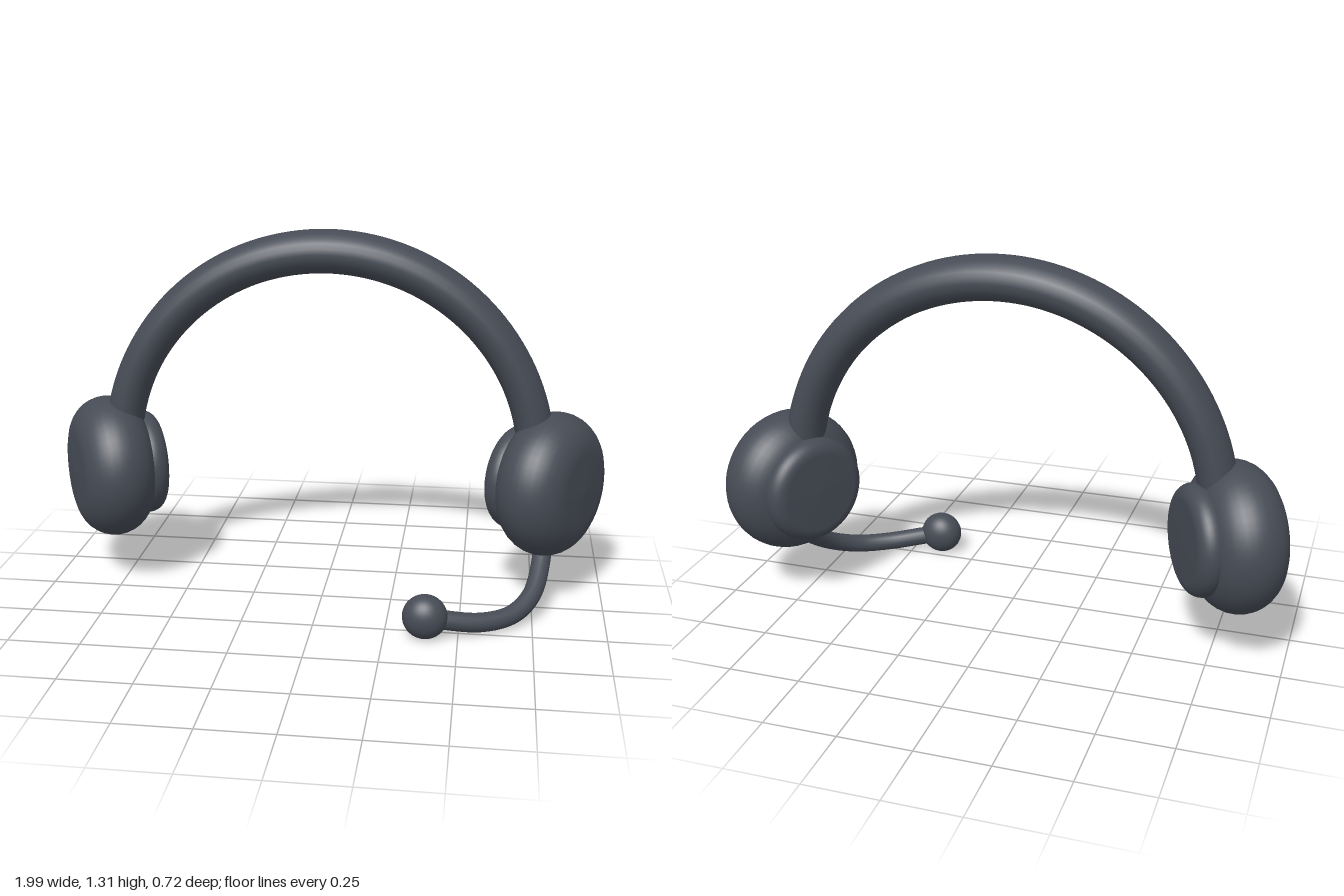
import * as THREE from 'three';
import { mergeVertices } from 'three/addons/utils/BufferGeometryUtils.js';

const charcoal = new THREE.MeshStandardMaterial({ color: 0x464b55, side: THREE.DoubleSide });
charcoal.name = 'charcoal';

const part = (name, geometry) => {
  const mesh = new THREE.Mesh(geometry, charcoal);
  mesh.name = name;
  return mesh;
};

// Disc with a fully rounded rim and slightly domed faces, its axis along x
function roundedDisc(radius, rim, dome) {
  const points = [new THREE.Vector2(0, -rim - dome)];
  for (let i = 0; i <= 16; i++) {
    const a = -Math.PI / 2 + (Math.PI * i) / 16;
    points.push(new THREE.Vector2(radius - rim + rim * Math.cos(a), rim * Math.sin(a)));
  }
  points.push(new THREE.Vector2(0, rim + dome));
  return new THREE.LatheGeometry(points, 48).rotateZ(-Math.PI / 2);
}

// Oval arch that narrows a little towards both ends
function bandGeometry() {
  const R = 0.747, start = 0.08;
  const geo = new THREE.TorusGeometry(R, 0.076, 24, 72, Math.PI - 2 * start).rotateZ(start);
  const p = geo.attributes.position;
  for (let i = 0; i < p.count; i++) {
    const x = p.getX(i), y = p.getY(i), rho = Math.hypot(x, y);
    const k = 1 - 0.13 * (x / rho) ** 2;
    const s = (R + (rho - R) * k) / rho;
    p.setXYZ(i, x * s, y * s, p.getZ(i) * 1.22 * k);
  }
  geo.deleteAttribute('uv');
  geo.deleteAttribute('normal');
  const merged = mergeVertices(geo);
  merged.computeVertexNormals();
  return merged;
}

export function createModel() {
  const model = new THREE.Group();
  model.name = 'headset';

  const band = part('headband', bandGeometry());
  band.position.set(0, 0.492, -0.12);
  model.add(band);

  // Ear cups, turned so their outer faces point partly forward
  for (const side of [1, -1]) {
    const ear = new THREE.Group();
    ear.name = side > 0 ? 'leftEarCup' : 'rightEarCup';
    const pad = part('earPad', roundedDisc(0.19, 0.05, 0.004));
    pad.position.x = -0.13;
    ear.add(part('earShell', roundedDisc(0.258, 0.13, 0.006)), pad);
    ear.position.set(side * 0.802, 0.428, -0.12);
    ear.rotation.y = side > 0 ? -Math.PI / 6 : Math.PI + Math.PI / 6;
    model.add(ear);
  }

  // Microphone on a curved boom
  const path = new THREE.CatmullRomCurve3([
    [0.785, 0.25, -0.14], [0.778, 0.165, -0.04], [0.745, 0.085, 0.085], [0.68, 0.047, 0.17],
    [0.58, 0.042, 0.235], [0.47, 0.06, 0.275], [0.385, 0.08, 0.293],
  ].map(p => new THREE.Vector3(...p)));
  model.add(part('microphoneBoom', new THREE.TubeGeometry(path, 48, 0.033, 16)));

  const mic = part('microphone', new THREE.SphereGeometry(0.077, 32, 24));
  mic.scale.z = 0.85;
  mic.position.set(0.388, 0.08, 0.297);
  model.add(mic);

  return model;
}
